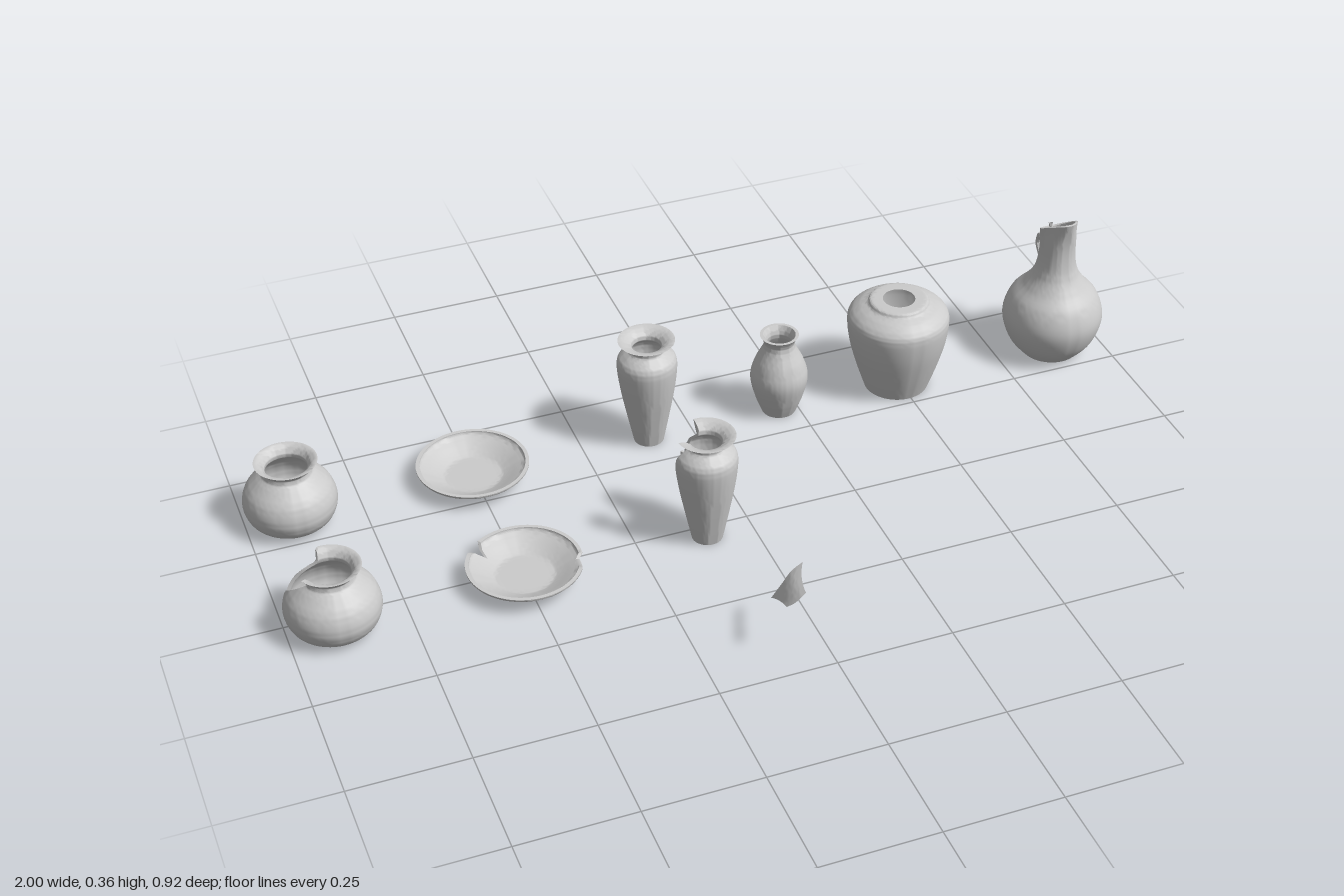
import * as THREE from 'three';
import { mergeVertices, toCreasedNormals } from 'three/addons/utils/BufferGeometryUtils.js';

const material = new THREE.MeshStandardMaterial({ color: 0xcccccc, side: THREE.DoubleSide });

// Outer profiles [radius, height], from foot to rim
const POT = [[0.066, 0], [0.09, 0.022], [0.1, 0.055], [0.091, 0.09], [0.068, 0.117], [0.053, 0.132], [0.056, 0.145], [0.067, 0.155]];
const PLATE = [[0.05, 0], [0.078, 0.012], [0.104, 0.026], [0.12, 0.035], [0.122, 0.041]];
const VASE = [[0.033, 0], [0.045, 0.06], [0.058, 0.13], [0.065, 0.185], [0.064, 0.213], [0.052, 0.228], [0.04, 0.238], [0.042, 0.25], [0.053, 0.258], [0.062, 0.262]];
const BOTTLE = [[0.038, 0], [0.053, 0.04], [0.064, 0.09], [0.055, 0.13], [0.039, 0.163], [0.034, 0.178], [0.038, 0.192], [0.043, 0.2]];
const JAR = [[0.072, 0], [0.092, 0.06], [0.108, 0.12], [0.114, 0.17], [0.109, 0.192], [0.088, 0.209], [0.07, 0.217], [0.064, 0.225], [0.044, 0.226]];
const PITCHER = [[0.066, 0], [0.098, 0.04], [0.114, 0.095], [0.1, 0.145], [0.07, 0.18], [0.049, 0.215], [0.041, 0.26], [0.042, 0.31], [0.05, 0.36]];

// Linear interpolation through [key, value] pairs
function interpolate(pairs, k) {
  if (k <= pairs[0][0]) return pairs[0][1];
  for (let i = 1; i < pairs.length; i++) {
    const [k0, v0] = pairs[i - 1], [k1, v1] = pairs[i];
    if (k <= k1) return v0 + ((v1 - v0) * (k - k0)) / Math.max(k1 - k0, 1e-6);
  }
  return pairs[pairs.length - 1][1];
}

// Hollow turned vessel; cut(angle) gives the height where the wall ends
function vesselGeometry(profile, wall, cut) {
  const curve = new THREE.SplineCurve(profile.map(([r, y]) => new THREE.Vector2(r, y)));
  const outer = curve.getPoints(36);
  const inner = outer.map(p => new THREE.Vector2(p.x - wall, Math.max(p.y, wall))).reverse();
  const points = [new THREE.Vector2(0, 0), ...outer, ...inner, new THREE.Vector2(0, wall)];
  const geometry = new THREE.LatheGeometry(points, 72);
  if (cut) {
    const outerRadius = outer.map(p => [p.y, p.x]);
    const innerRadius = [...inner].reverse().map(p => [p.y, p.x]);
    const pos = geometry.attributes.position;
    for (let i = 0; i < pos.count; i++) {
      const angle = Math.floor(i / points.length) / 72 * Math.PI * 2;
      const limit = cut(angle);
      if (pos.getY(i) <= limit) continue;
      const r = interpolate(i % points.length <= outer.length ? outerRadius : innerRadius, limit);
      pos.setXYZ(i, r * Math.sin(angle), limit, r * Math.cos(angle));
    }
  }
  return geometry;
}

function finish(geometry) {
  geometry.deleteAttribute('uv');
  geometry.deleteAttribute('normal');
  return toCreasedNormals(mergeVertices(geometry, 1e-5), 0.7);
}

// Jagged break around a direction: [angle offset, remaining height]
function jagged(direction, pairs) {
  return angle => {
    const d = angle - direction;
    return interpolate(pairs, Math.atan2(Math.sin(d), Math.cos(d)));
  };
}

// Curved wall fragment, lofted between a wide and a narrow arc
function shardGeometry() {
  const arc = pts => new THREE.CatmullRomCurve3(pts.map(p => new THREE.Vector3(...p)));
  const wide = arc([[-0.02, 0.157, 0.36], [-0.045, 0.143, 0.362], [-0.068, 0.118, 0.366], [-0.088, 0.087, 0.363]]);
  const middle = arc([[-0.042, 0.15, 0.395], [-0.058, 0.143, 0.4], [-0.073, 0.13, 0.402], [-0.084, 0.111, 0.4]]);
  const narrow = arc([[-0.05, 0.157, 0.45], [-0.062, 0.152, 0.455], [-0.075, 0.142, 0.455], [-0.088, 0.128, 0.445]]);
  const geometry = new THREE.PlaneGeometry(1, 1, 12, 12);
  const pos = geometry.attributes.position;
  for (let i = 0; i < pos.count; i++) {
    const u = pos.getX(i) + 0.5, v = pos.getY(i) + 0.5;
    const p = new THREE.QuadraticBezierCurve3(
      wide.getPoint(u), middle.getPoint(u), narrow.getPoint(u)).getPoint(v);
    pos.setXYZ(i, p.x, p.y, p.z);
  }
  return geometry;
}

export function createModel() {
  const model = new THREE.Group();
  model.name = 'potteryCollection';

  const add = (name, geometry, x = 0, z = 0, parent = model) => {
    const mesh = new THREE.Mesh(finish(geometry), material);
    mesh.name = name;
    mesh.position.set(x, 0, z);
    parent.add(mesh);
    return mesh;
  };

  // Intact pieces in the back row
  const back = -0.338;
  add('roundPot', vesselGeometry(POT, 0.008), -0.9, back);
  add('plate', vesselGeometry(PLATE, 0.008), -0.502, back);
  add('tallVase', vesselGeometry(VASE, 0.008), -0.1, back);
  add('smallVase', vesselGeometry(BOTTLE, 0.007), 0.208, back);
  add('largeJar', vesselGeometry(JAR, 0.008), 0.494, back);

  // Broken pieces in the front row
  const front = 0.03;
  add('brokenPot', vesselGeometry(POT, 0.008, jagged(-2.1, [
    [-1.1, 0.2], [-0.8, 0.138], [-0.4, 0.115], [-0.05, 0.06], [0.2, 0.095], [0.6, 0.12], [0.9, 0.135], [1.1, 0.2],
  ])), -0.9, front);
  const chip = jagged(-2.36, [[-0.22, 0.05], [-0.1, 0.032], [0, 0.02], [0.08, 0.033], [0.2, 0.05]]);
  const wornEdge = jagged(1.25, [[-0.3, 0.05], [-0.1, 0.034], [0.15, 0.031], [0.35, 0.05]]);
  add('chippedPlate', vesselGeometry(PLATE, 0.008, a => Math.min(chip(a), wornEdge(a))), -0.498, 0.024);
  add('brokenVase', vesselGeometry(VASE, 0.007, jagged(-2.2, [
    [-0.95, 0.3], [-0.75, 0.235], [-0.5, 0.185], [-0.35, 0.2], [-0.05, 0.095],
    [0.15, 0.13], [0.4, 0.165], [0.55, 0.22], [0.85, 0.3],
  ])), -0.1, front);
  add('vaseShard', shardGeometry());

  // Pitcher with slanted mouth and pinched spout
  const pitcher = new THREE.Group();
  pitcher.name = 'pitcher';
  pitcher.position.set(0.882, 0, back);
  model.add(pitcher);
  const body = vesselGeometry(PITCHER, 0.006, a => 0.331 + 0.026 * Math.cos(a));
  const pos = body.attributes.position;
  for (let i = 0; i < pos.count; i++) {
    const lift = THREE.MathUtils.smoothstep(pos.getY(i), 0.28, 0.35);
    const forward = THREE.MathUtils.smoothstep(pos.getZ(i), -0.01, 0.05);
    pos.setX(i, pos.getX(i) * (1 - 0.45 * lift * forward));
    pos.setZ(i, pos.getZ(i) + 0.004 * lift * forward);
  }
  add('pitcherBody', body, 0, 0, pitcher);

  // Looped handle and thumb rest behind the neck
  const tube = (points, radius) => new THREE.TubeGeometry(
    new THREE.CatmullRomCurve3(points.map(([y, z]) => new THREE.Vector3(0, y, z)), false, 'catmullrom', 0.3),
    32, radius, 8);
  add('pitcherHandle', tube([
    [0.25, -0.036], [0.25, -0.06], [0.257, -0.084], [0.228, -0.093], [0.2, -0.072], [0.186, -0.07], [0.163, -0.083],
  ], 0.006), 0, 0, pitcher);
  add('thumbRest', tube([[0.312, -0.04], [0.298, -0.037], [0.275, -0.038], [0.25, -0.038]], 0.005), 0, 0, pitcher);

  return model;
}
